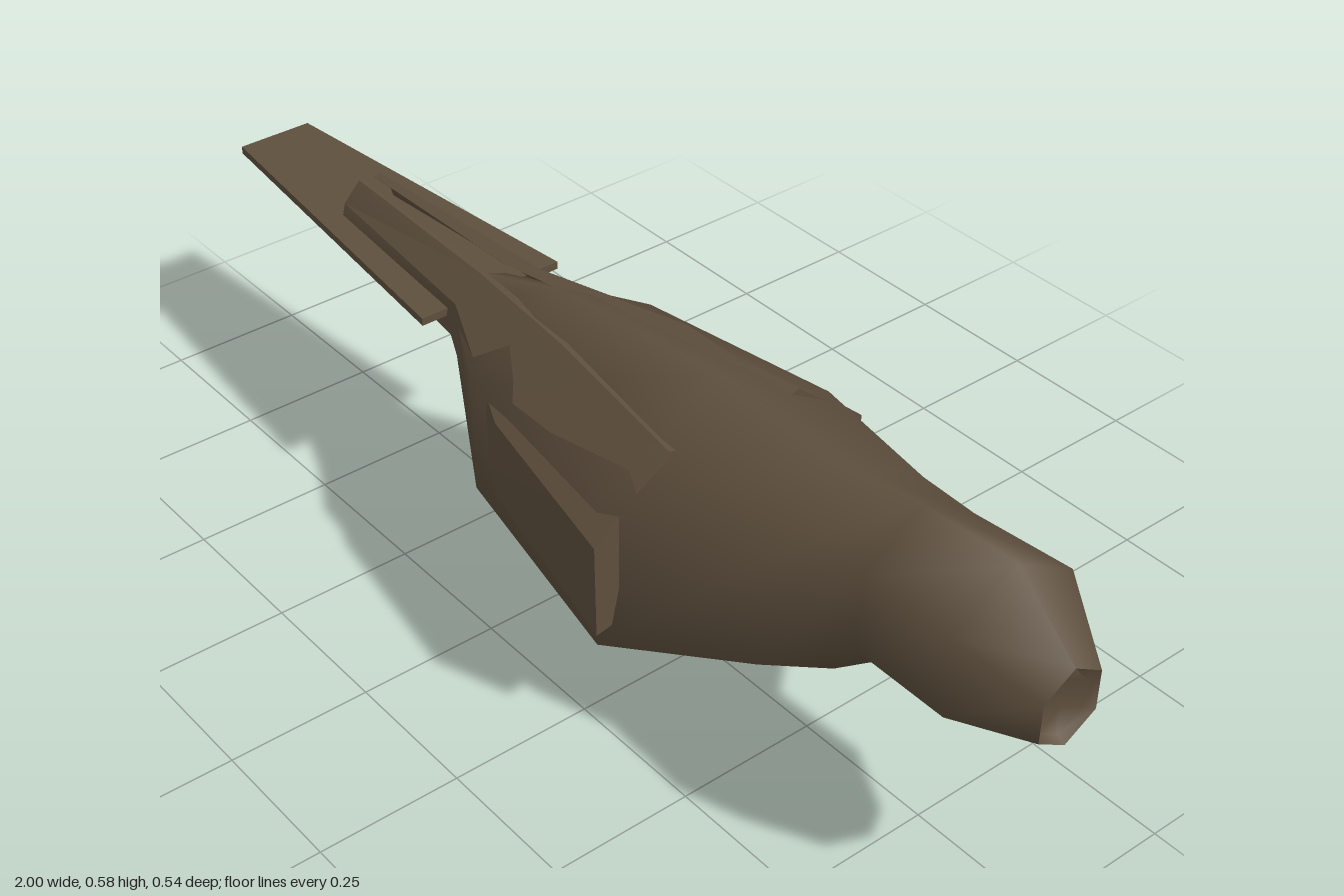
import * as THREE from 'three';
import { toCreasedNormals } from 'three/addons/utils/BufferGeometryUtils.js';

// Skin a series of rings running along +x; each ring goes top -> +z -> bottom -> -z
function loft(rings, crease) {
  const n = rings[0].length, last = rings.length - 1;
  const pos = rings.flat(2), idx = [];
  for (let i = 0; i < last; i++)
    for (let j = 0; j < n; j++) {
      const k = (j + 1) % n;
      const a = i * n + j, b = i * n + k, c = (i + 1) * n + k, d = (i + 1) * n + j;
      idx.push(a, b, d, b, c, d);
    }
  // End caps on their own centre points
  [0, last].forEach((r) => {
    const centre = pos.length / 3;
    for (let axis = 0; axis < 3; axis++) pos.push(rings[r].reduce((s, p) => s + p[axis], 0) / n);
    for (let j = 0; j < n; j++) {
      const a = r * n + j, b = r * n + ((j + 1) % n);
      if (r === 0) idx.push(centre, b, a);
      else idx.push(centre, a, b);
    }
  });
  const g = new THREE.BufferGeometry();
  g.setAttribute('position', new THREE.Float32BufferAttribute(pos, 3));
  g.setIndex(idx);
  return toCreasedNormals(g, crease);
}

// Six-sided body section with points at top and bottom
function hexRing([x, top, bottom, half]) {
  const mid = (top + bottom) / 2, r = (top - bottom) / 2;
  return Array.from({ length: 6 }, (_, i) => {
    const a = (i * Math.PI) / 3;
    return [x, mid + r * Math.cos(a), (half / Math.sin(Math.PI / 3)) * Math.sin(a)];
  });
}

export function createModel() {
  const group = new THREE.Group();
  const brown = new THREE.MeshStandardMaterial({ color: 0x5f503e });
  brown.name = 'brown';
  const add = (name, geometry) => {
    const mesh = new THREE.Mesh(geometry, brown);
    mesh.name = name;
    group.add(mesh);
  };

  // Body and head: x, top, bottom, half width; the last ring sinks into the blunt face
  add('body', loft([
    [-0.345, 0.43, 0.32, 0.065],
    [-0.12, 0.51, 0.09, 0.185],
    [0.265, 0.555, 0.004, 0.235],
    [0.55, 0.55, 0.16, 0.16],
    [0.7, 0.57, 0.29, 0.11],
    [0.88, 0.58, 0.297, 0.118],
    [1.0, 0.475, 0.335, 0.057],
    [0.985, 0.445, 0.345, 0.045],
  ].map(hexRing), 1.25));

  // Folded wings: top, shoulder and lower edge as [y, z], hugging the body then running over the tail
  const wing = [
    { x: -0.68, t: 0.012, p: [[0.465, 0.022], [0.43, 0.055], [0.385, 0.066]] },
    { x: -0.3, t: 0.015, p: [[0.465, 0.035], [0.425, 0.088], [0.37, 0.1]] },
    { x: -0.02, t: 0.025, p: [[0.49, 0.08], [0.395, 0.213], [0.245, 0.212]] },
    { x: 0.305, t: 0.03, p: [[0.492, 0.13], [0.377, 0.272], [0.205, 0.268]] },
  ];
  [1, -1].forEach((side) => {
    const rings = wing.map(({ x, t, p }) => {
      const outer = p.map(([y, z]) => [x, y, z * side]);
      const inner = p.map(([y, z], i) => [x, y - (i < 2 ? t * 0.4 : -t * 0.2), (z - t) * side]).reverse();
      const ring = [...outer, ...inner];
      return side > 0 ? ring : ring.reverse();
    });
    add(side > 0 ? 'rightWing' : 'leftWing', loft(rings, 0.6));
  });

  // Flat tapering tail
  const tailRing = (x, half) => [
    [x, 0.408, -half], [x, 0.408, half], [x, 0.394, half], [x, 0.394, -half],
  ];
  add('tail', loft([tailRing(-1, 0.072), tailRing(-0.32, 0.142)], 0.5));

  return group;
}
